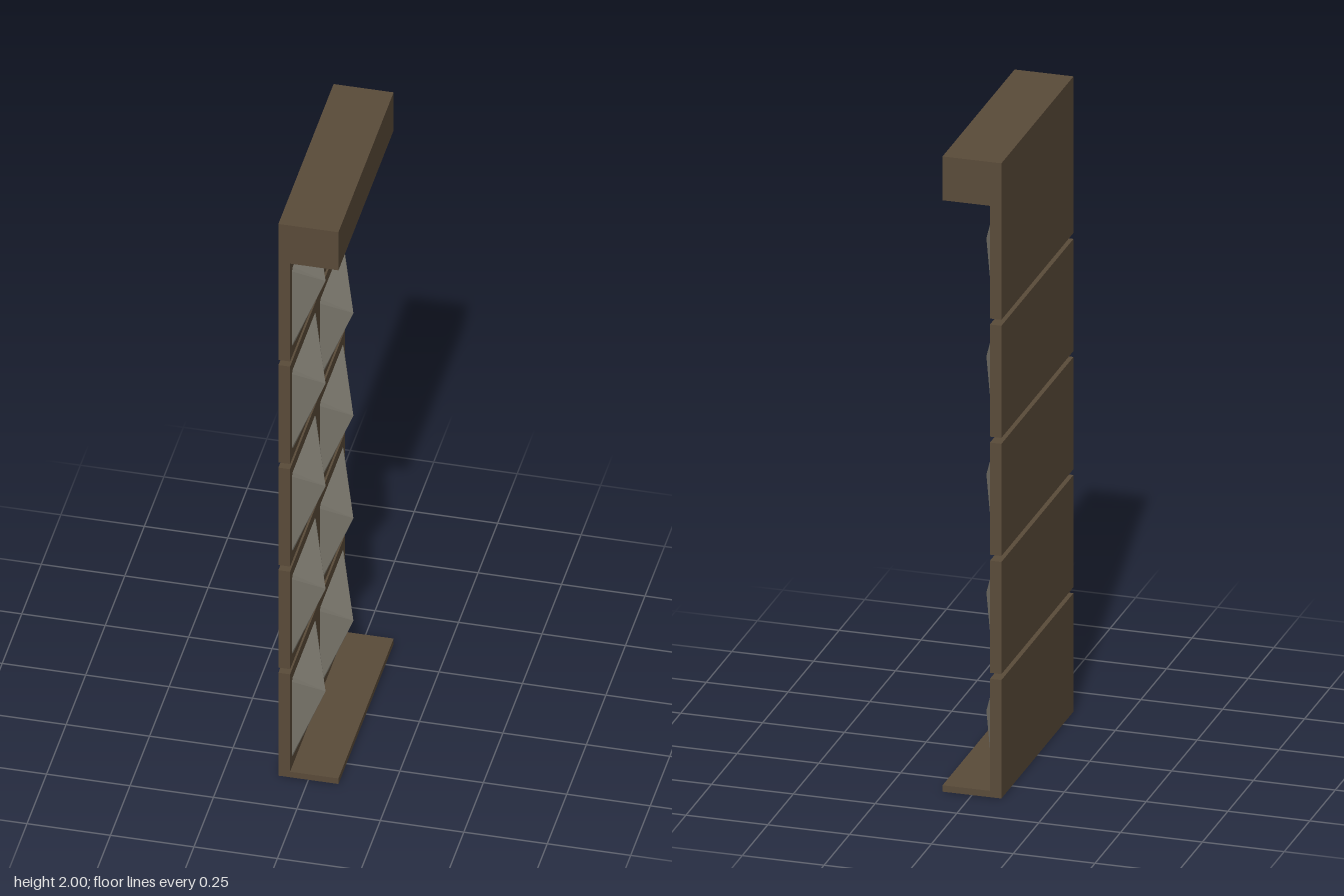
import * as THREE from 'three';

const DEPTH = 0.706, BACK = -0.09, FACE = -0.055, FRONT = 0.09;

// Shallow pyramid with nipped corners, its apex pointing to +x
function studGeometry(halfW, halfH, nip, height) {
  const base = [
    [halfW, halfH - nip], [halfW - nip, halfH], [-halfW + nip, halfH], [-halfW, halfH - nip],
    [-halfW, -halfH + nip], [-halfW + nip, -halfH], [halfW - nip, -halfH], [halfW, -halfH + nip],
  ];
  const positions = [];
  base.forEach(([z, y], i) => {
    const [z2, y2] = base[(i + 1) % base.length];
    positions.push(0, y2, z2, 0, y, z, height, 0, 0);
  });
  const geometry = new THREE.BufferGeometry();
  geometry.setAttribute('position', new THREE.Float32BufferAttribute(positions, 3));
  geometry.computeVertexNormals();
  return geometry;
}

export function createModel() {
  const model = new THREE.Group();
  model.name = 'studdedPanelWall';
  const brown = new THREE.MeshStandardMaterial({ name: 'darkBrown', color: 0x5a4b39 });
  const grey = new THREE.MeshStandardMaterial({ name: 'warmGrey', color: 0x8f8b7f, side: THREE.DoubleSide });

  const slab = (name, x0, x1, y0, y1) => {
    const mesh = new THREE.Mesh(new THREE.BoxGeometry(x1 - x0, y1 - y0, DEPTH), brown);
    mesh.position.set((x0 + x1) / 2, (y0 + y1) / 2, 0);
    mesh.name = name;
    model.add(mesh);
  };

  // Overhanging beam and thin foot plate
  slab('topBeam', BACK, FRONT, 1.862, 2);
  slab('footPlate', BACK, FRONT, 0, 0.02);

  // Five separate back panels, each with a pair of studs
  const stud = studGeometry(0.152, 0.143, 0.01, 0.065);
  const pitch = 0.3718;
  for (let i = 0; i < 5; i++) {
    const bottom = i === 0 ? 0.02 : 0.02 + i * pitch;
    const top = i === 4 ? 1.862 : 0.373 + i * pitch;
    slab('panel', BACK, FACE, bottom, top);
    for (const side of [-1, 1]) {
      const mesh = new THREE.Mesh(stud, grey);
      mesh.position.set(FACE + 0.0005, 0.197 + i * pitch, side * 0.178);
      mesh.name = 'pyramidStud';
      model.add(mesh);
    }
  }
  return model;
}
